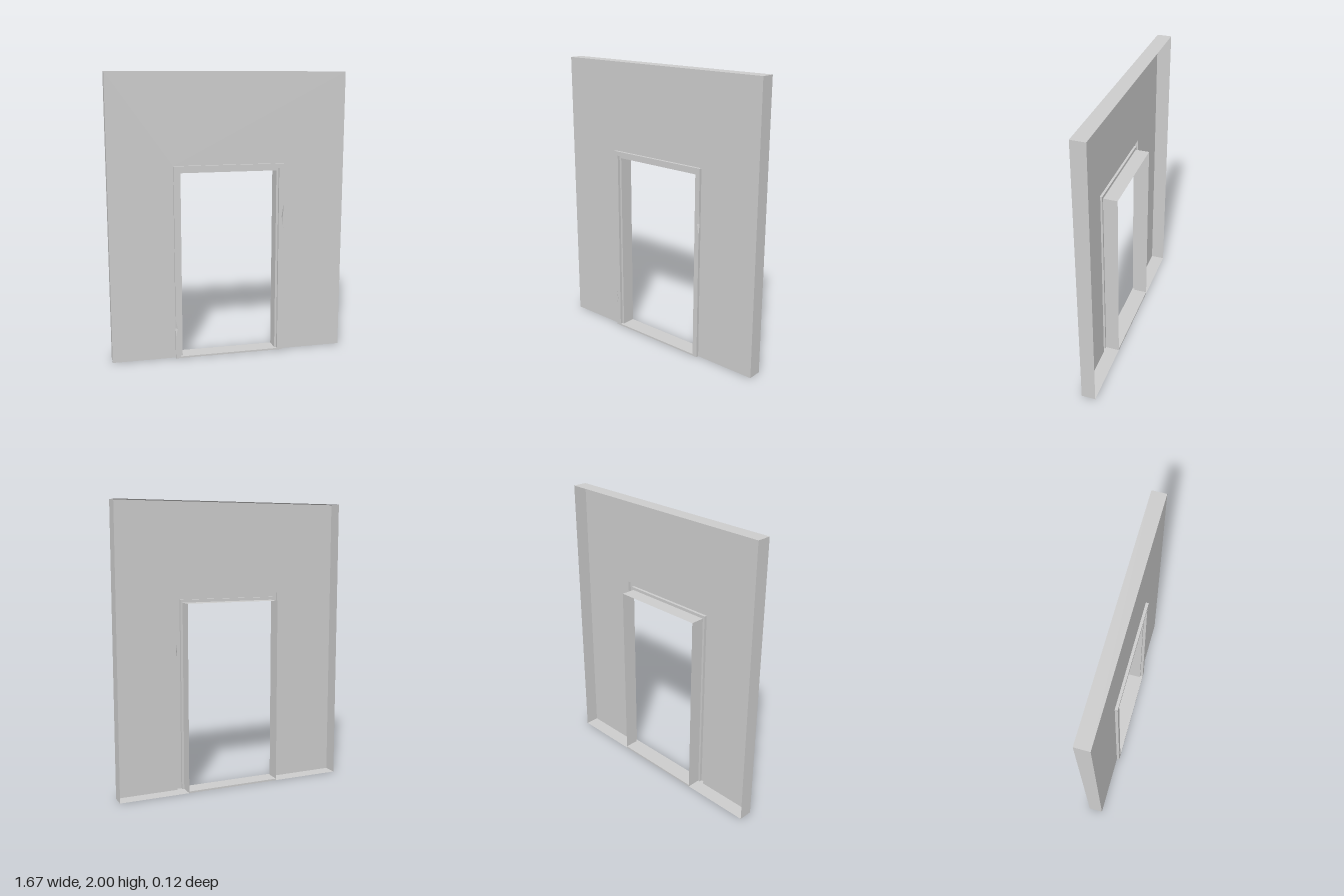
import * as THREE from 'three';

const W = 0.835, H = 2;                    // wall half width, height
const BACK = -0.06, FACE = 0.04, FRONT = 0.06;
const OUT = [0.39, 1.37], REBATE = [0.355, 1.34], JAMB = [0.34, 1.32];
const SILL = 0.012;

const material = new THREE.MeshStandardMaterial({ color: 0xcccccc, side: THREE.DoubleSide, flatShading: true });

// Chips knocked out of the outer front edge of the casing
const chips = [
  { side: -1, y0: 0.16, y: 0.22, y1: 0.29 },
  { side: 1, y0: 0.91, y: 0.99, y1: 1.09 },
];
const CHIP_X = 0.014, CHIP_Z = 0.01;

// Doorway outline: up one side, across the head, down the other
const arch = ([w, h]) => [[-w, 0], [-w, h], [w, h], [w, 0]];

const flat = (pts) => new THREE.ShapeGeometry(new THREE.Shape(pts.map((p) => new THREE.Vector2(...p))));

// Band of quads between two outlines at two depths
function band(a, za, b, zb) {
  const pos = [];
  for (let i = 0; i + 1 < a.length; i++) {
    const p = [...a[i], za], q = [...a[i + 1], za], r = [...b[i + 1], zb], s = [...b[i], zb];
    pos.push(...p, ...q, ...r, ...p, ...r, ...s);
  }
  return triangles(pos);
}

function triangles(pos) {
  const g = new THREE.BufferGeometry();
  g.setAttribute('position', new THREE.Float32BufferAttribute(pos, 3));
  g.computeVertexNormals();
  return g;
}

export function createModel() {
  const group = new THREE.Group();
  const add = (name, geometry) => {
    const mesh = new THREE.Mesh(geometry, material);
    mesh.name = name;
    group.add(mesh);
    return mesh;
  };

  // Wall: front panel cut round the doorway, and a rim left open at the back
  add('wallPanel', flat([[-W, 0], [-W, H], [W, H], [W, 0], ...arch(OUT).reverse()])).position.z = FACE;
  const rim = [[-W, 0], [-W, H], [W, H], [W, 0], [-W, 0]];
  add('wallRim', band(rim, FACE, rim, BACK));

  // Casing front, with its outer edge notched at the chips
  const [ow, oh] = OUT;
  const [left, right] = chips;
  add('casingFront', flat([
    [-ow, 0], [-ow, left.y0], [-ow + CHIP_X, left.y], [-ow, left.y1], [-ow, oh],
    [ow, oh], [ow, right.y1], [ow - CHIP_X, right.y], [ow, right.y0], [ow, 0],
    ...arch(REBATE).reverse(),
  ])).position.z = FRONT;

  // Casing outer sides and the chip facets
  for (const c of chips) {
    const side = flat([
      [FACE, 0], [FRONT, 0], [FRONT, c.y0], [FRONT - CHIP_Z, c.y], [FRONT, c.y1], [FRONT, oh], [FACE, oh],
    ]);
    side.rotateY(-Math.PI / 2);
    if (c.side > 0) side.setIndex(Array.from(side.index.array).reverse());
    side.translate(c.side * ow, 0, 0);
    side.computeVertexNormals();
    add('casingSide', side);

    const x = c.side * ow;
    const low = [x, c.y0, FRONT], high = [x, c.y1, FRONT];
    const inner = [x - c.side * CHIP_X, c.y, FRONT], deep = [x, c.y, FRONT - CHIP_Z];
    add('casingChip', triangles(c.side > 0
      ? [...low, ...deep, ...inner, ...inner, ...deep, ...high]
      : [...low, ...inner, ...deep, ...inner, ...high, ...deep]));
  }
  const head = [[-ow, oh], [ow, oh]];
  add('casingTop', band(head, FACE, head, FRONT));

  // Rebate steps in to the jamb, which lines the opening to the back
  add('rebateSide', band(arch(REBATE), FRONT, arch(REBATE), FACE));
  add('rebateStep', band(arch(REBATE), FACE, arch(JAMB), FACE));
  add('jamb', band(arch(JAMB), FACE, arch(JAMB), BACK));

  // Sill: raised threshold, wider within the casing
  const box = (name, w, h, z0, z1) => {
    add(name, new THREE.BoxGeometry(2 * w, h, z1 - z0)).position.set(0, h / 2, (z0 + z1) / 2);
  };
  box('sill', JAMB[0], SILL, BACK, FACE);
  box('sillFront', REBATE[0], SILL, FACE, FRONT);

  // Underside of the casing legs
  for (const s of [-1, 1]) {
    const foot = new THREE.PlaneGeometry(ow - REBATE[0], FRONT - FACE).rotateX(Math.PI / 2);
    add('casingFoot', foot).position.set(s * (ow + REBATE[0]) / 2, 0, (FACE + FRONT) / 2);
  }

  return group;
}
